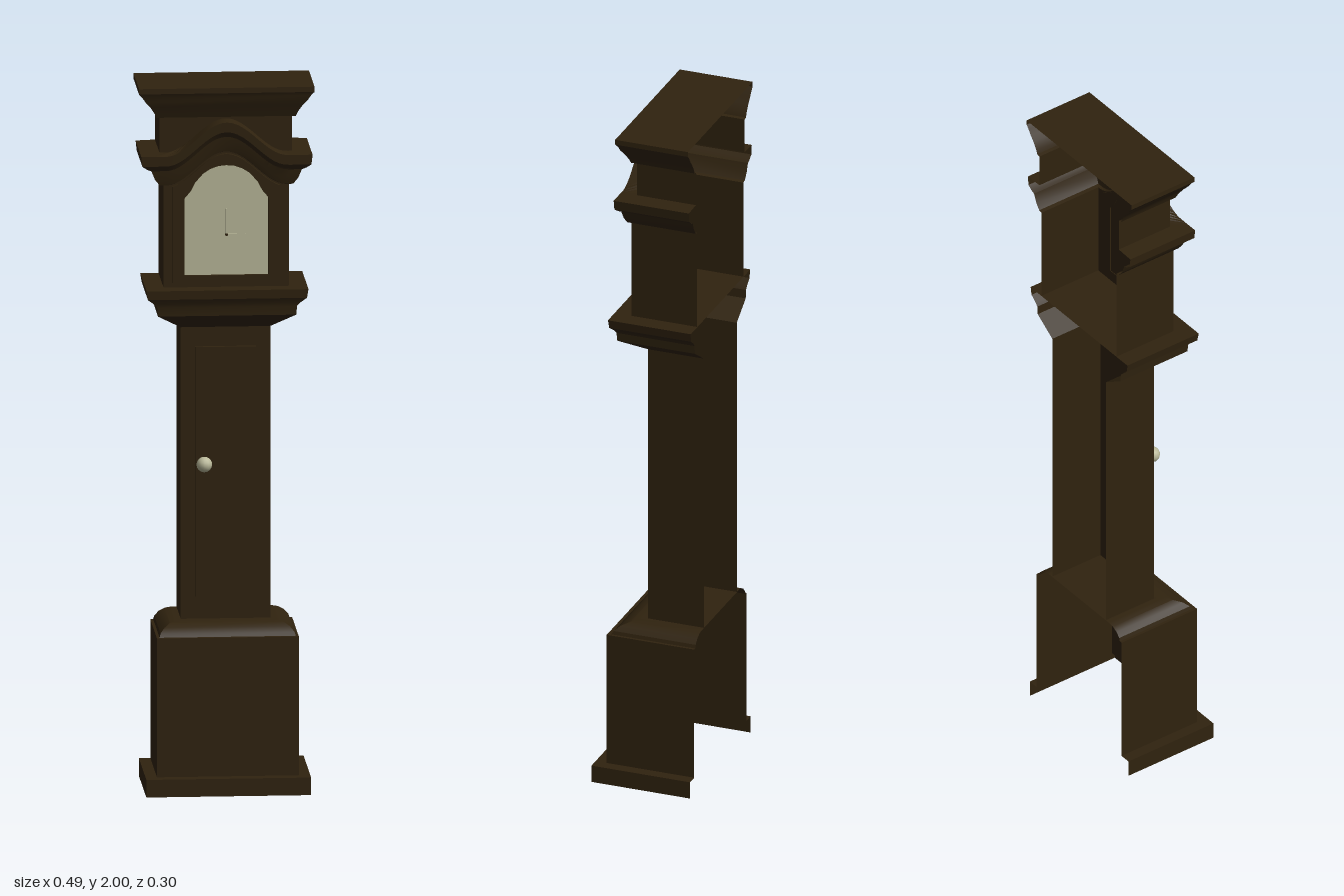
import * as THREE from 'three';
import { toCreasedNormals } from 'three/addons/utils/BufferGeometryUtils.js';

const BACK = -0.147;

// Height of the swan arch above the straight moulding line
const archLift = (x) => Math.abs(x) < 0.17 ? 0.0475 * (1 + Math.cos(Math.PI * x / 0.17)) : 0;

// Three-sided shell, open at the back. Rows: [y, half width, front z, follows arch]
function shell(rows, segments = 1) {
  const positions = [], index = [];
  const columns = segments + 3;
  for (const [y, w, z, arched] of rows) {
    positions.push(-w, y, BACK);
    for (let i = 0; i <= segments; i++) {
      const x = w * (2 * i / segments - 1);
      positions.push(x, y + (arched ? archLift(x) : 0), z);
    }
    positions.push(w, y, BACK);
  }
  for (let r = 0; r < rows.length - 1; r++) {
    for (let c = 0; c < columns - 1; c++) {
      const a = r * columns + c, d = a + columns;
      index.push(a, a + 1, d + 1, a, d + 1, d);
    }
  }
  const geometry = new THREE.BufferGeometry();
  geometry.setAttribute('position', new THREE.Float32BufferAttribute(positions, 3));
  geometry.setIndex(index);
  return toCreasedNormals(geometry, 0.35);
}

// Horizontal board spanning the case
function board(y, w, z) {
  return new THREE.PlaneGeometry(2 * w, z - BACK).rotateX(-Math.PI / 2).translate(0, y, (z + BACK) / 2);
}

// Mirrors the right half of an outline (bottom to top centre) into a closed list
function mirrored(half) {
  const left = half.filter(([x]) => x > 0).reverse().map(([x, y]) => [-x, y]);
  return [...half, ...left].map(([x, y]) => new THREE.Vector2(x, y));
}

export function createModel() {
  const group = new THREE.Group();
  const wood = new THREE.MeshStandardMaterial({ color: 0x30230f, side: THREE.DoubleSide });
  wood.name = 'dark wood';
  const ivory = new THREE.MeshStandardMaterial({ color: 0xb9b899 });
  ivory.name = 'ivory';
  const add = (name, geometry, material = wood) => {
    const mesh = new THREE.Mesh(geometry, material);
    mesh.name = name;
    group.add(mesh);
    return mesh;
  };

  // Plinth and lower box with its rounded shoulder
  add('base', shell([
    [0, 0.23, 0.148], [0.05, 0.23, 0.148], [0.05, 0.198, 0.115], [0.445, 0.198, 0.115],
    [0.445, 0.19, 0.105], [0.455, 0.187, 0.098], [0.468, 0.175, 0.083],
    [0.477, 0.158, 0.06], [0.48, 0.14, 0.05], [0.48, 0.125, 0.02],
  ]));
  add('baseTop', board(0.479, 0.14, 0.045));

  // Trunk and its door
  add('trunk', shell([[0.48, 0.125, 0.02], [1.31, 0.125, 0.02]]));
  add('trunkDoor', new THREE.BoxGeometry(0.17, 0.71, 0.012).translate(0, 0.9, 0.025));

  // Flared moulding carrying the hood
  add('hoodSupport', shell([
    [1.31, 0.125, 0.02], [1.355, 0.193, 0.085], [1.38, 0.195, 0.087], [1.39, 0.203, 0.09],
    [1.405, 0.222, 0.098], [1.43, 0.226, 0.1], [1.43, 0.175, 0.05],
  ]));
  add('hoodFloor', board(1.429, 0.22, 0.09));

  // Hood walls, arched moulding, frieze and cornice
  add('hood', shell([[1.43, 0.175, 0.05], [1.72, 0.175, 0.05, true]], 32));
  add('archMoulding', shell([
    [1.72, 0.175, 0.05, true], [1.722, 0.186, 0.058, true], [1.74, 0.2, 0.063, true],
    [1.765, 0.21, 0.067, true], [1.77, 0.222, 0.07, true], [1.78, 0.236, 0.077, true],
    [1.808, 0.239, 0.078, true], [1.81, 0.185, 0.03, true],
  ], 32));
  add('frieze', shell([[1.81, 0.185, 0.03, true], [1.91, 0.185, 0.03]], 32));
  add('cornice', shell([
    [1.91, 0.185, 0.03], [1.912, 0.195, 0.043], [1.925, 0.2, 0.048], [1.945, 0.213, 0.056],
    [1.96, 0.226, 0.063], [1.975, 0.236, 0.066], [1.985, 0.245, 0.071], [2, 0.245, 0.071],
  ]));
  add('roof', board(2, 0.245, 0.071));

  // Arched hood door frame around the dial
  const dialOutline = mirrored([
    [0.117, 1.465], [0.117, 1.685], [0.1, 1.705], [0.087, 1.73],
    [0.065, 1.755], [0.045, 1.768], [0.022, 1.776], [0, 1.778],
  ]);
  const frameHalf = [[0.15, 1.445]];
  for (let i = 0; i <= 10; i++) {
    const x = 0.15 * (1 - i / 10);
    frameHalf.push([x, 1.715 + archLift(x)]);
  }
  const frame = new THREE.Shape(mirrored(frameHalf));
  frame.holes.push(new THREE.Path(dialOutline));
  add('hoodDoorFrame', new THREE.ExtrudeGeometry(frame, { depth: 0.012, bevelEnabled: false }).translate(0, 0, 0.048));
  add('dial', new THREE.ShapeGeometry(new THREE.Shape(dialOutline)).translate(0, 0, 0.052), ivory);

  // Clock hands
  add('minuteHand', new THREE.BoxGeometry(0.004, 0.075, 0.005).translate(0, 1.617, 0.056), ivory);
  add('hourHand', new THREE.BoxGeometry(0.055, 0.004, 0.005).translate(0.0275, 1.58, 0.056), ivory);
  add('handPin', new THREE.CylinderGeometry(0.004, 0.004, 0.009, 8).rotateX(Math.PI / 2).translate(0, 1.58, 0.057));

  // Door knob
  add('knob', new THREE.SphereGeometry(0.022, 12, 8).translate(-0.062, 0.927, 0.061), ivory);
  add('knobStem', new THREE.CylinderGeometry(0.008, 0.01, 0.02, 10).rotateX(Math.PI / 2).translate(-0.062, 0.927, 0.037), ivory);

  return group;
}
